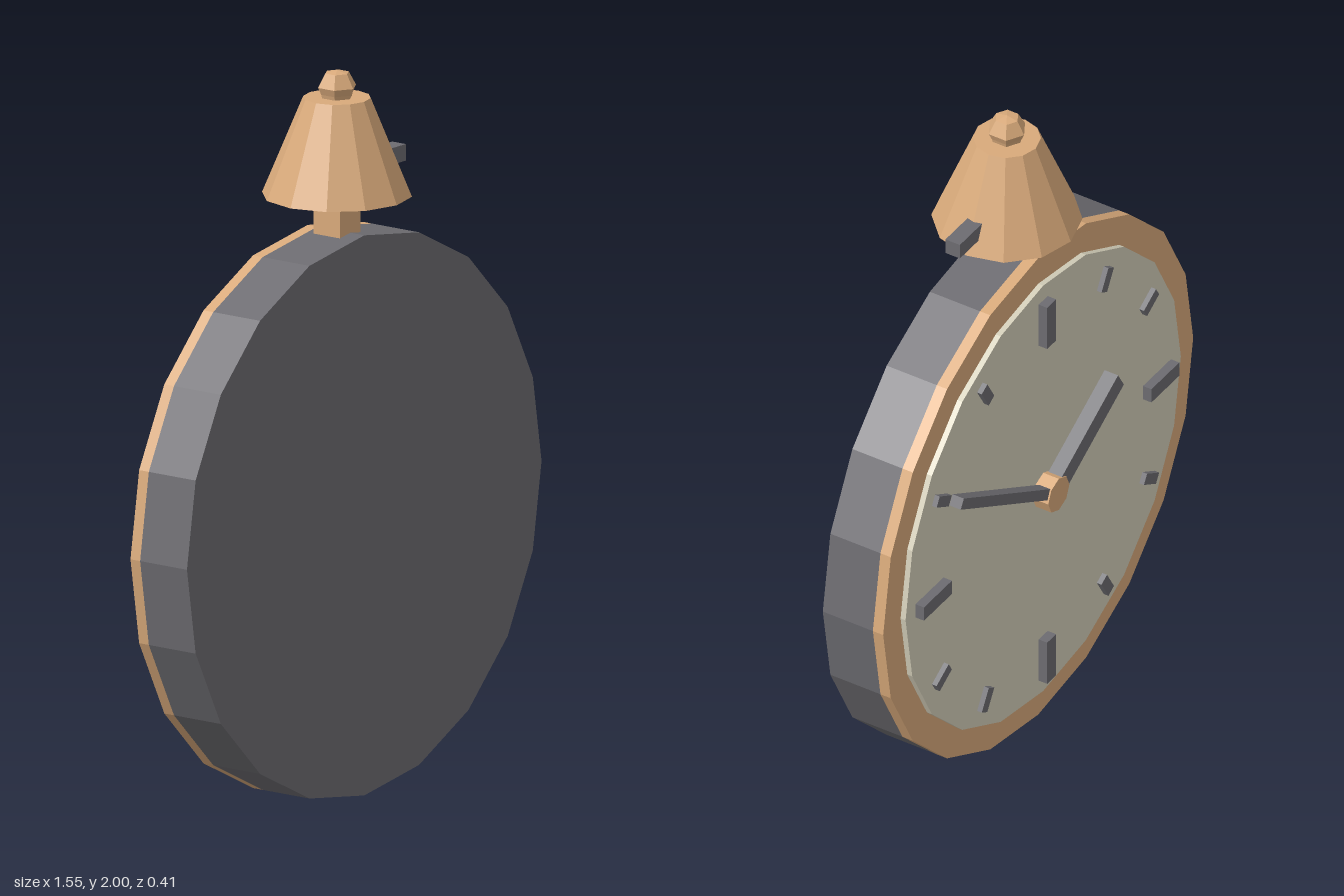
import * as THREE from 'three';

const mat = (name, color) => {
  const m = new THREE.MeshStandardMaterial({ color, flatShading: true });
  m.name = name;
  return m;
};

export function createModel() {
  const group = new THREE.Group();
  const darkGrey = mat('darkGrey', 0x6d6c71);
  const brass = mat('brass', 0xd9aa7b);
  const cream = mat('cream', 0xd4cfba);
  const CY = 0.778; // height of the dial centre

  const add = (name, geo, material, x = 0, y = 0, z = 0) => {
    const m = new THREE.Mesh(geo, material);
    m.name = name;
    m.position.set(x, y, z);
    group.add(m);
    return m;
  };

  // Disc facing along z, between two depths
  const disc = (name, r, z0, z1, sides, material) =>
    add(name, new THREE.CylinderGeometry(r, r, z0 - z1, sides).rotateX(Math.PI / 2),
      material, 0, CY, (z0 + z1) / 2);

  // Bar lying on the dial (which faces -z), pointing to an hour
  const dialBar = (name, hour, r0, r1, width, z0, z1) => {
    const geo = new THREE.BoxGeometry(width, r1 - r0, z0 - z1);
    geo.translate(0, (r0 + r1) / 2, 0);
    const m = add(name, geo, darkGrey, 0, CY, (z0 + z1) / 2);
    m.rotation.z = hour * Math.PI / 6;
  };

  // Case, rim and dial
  disc('case', 0.777, 0.093, -0.067, 20, darkGrey);
  disc('rim', 0.777, -0.067, -0.1, 20, brass);
  disc('dial', 0.69, -0.095, -0.116, 20, cream);

  // Hour marks, with longer ones at the quarters
  for (let h = 0; h < 12; h++) {
    if (h % 3 === 0) dialBar('quarterMark', h, 0.5, 0.64, 0.045, -0.11, -0.143);
    else dialBar('hourMark', h, 0.565, 0.635, 0.032, -0.11, -0.131);
  }

  // Hands and hub
  dialBar('hourHand', 2, 0, 0.365, 0.058, -0.12, -0.163);
  dialBar('minuteHand', 10, 0, 0.55, 0.032, -0.125, -0.161);
  disc('hub', 0.053, -0.11, -0.166, 8, brass);

  // Neck, bell and finial on top
  add('neck', new THREE.BoxGeometry(0.09, 0.16, 0.09), brass, 0, 1.6, 0);
  add('bell', new THREE.CylinderGeometry(0.092, 0.204, 0.27, 12), brass, 0, 1.79, 0);
  const profile = [[0.042, 1.92], [0.046, 1.935], [0.055, 1.955], [0.034, 1.993], [0, 2]]
    .map(([x, y]) => new THREE.Vector2(x, y));
  add('finial', new THREE.LatheGeometry(profile, 6), brass);

  // Small lever at the side of the bell
  add('lever', new THREE.BoxGeometry(0.13, 0.046, 0.046), darkGrey, 0.207, 1.722, 0);

  return group;
}
